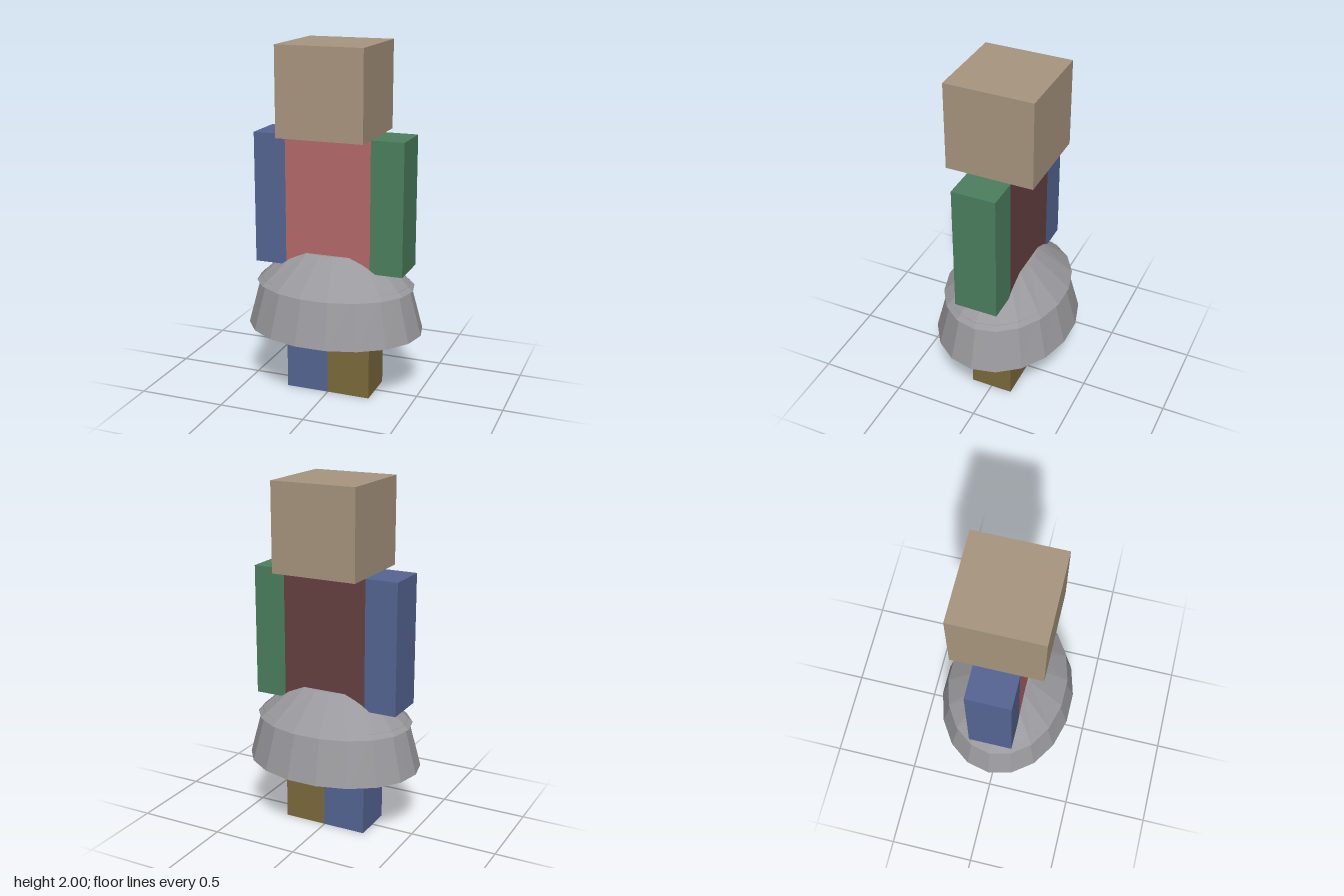
import * as THREE from 'three';

const mat = (name, color, side = THREE.FrontSide) => {
  const m = new THREE.MeshStandardMaterial({ color, side });
  m.name = name;
  return m;
};

export function createModel() {
  const tan = mat('tan', 0xa8957e);
  const red = mat('red', 0xb46969);
  const maroon = mat('maroon', 0x664141);
  const blue = mat('blue', 0x556593);
  const green = mat('green', 0x4c7f5e);
  const olive = mat('olive', 0x7a6a3b);
  const grey = mat('grey', 0x9a999d, THREE.DoubleSide);

  const model = new THREE.Group();
  model.name = 'blockFigure';

  const box = (name, [w, h, d], [x, y, z], material) => {
    const m = new THREE.Mesh(new THREE.BoxGeometry(w, h, d), material);
    m.name = name;
    m.position.set(x, y, z);
    model.add(m);
  };

  // Body blocks; material arrays run +x, -x, +y, -y, +z, -z
  box('head', [0.5, 0.5, 0.5], [0, 1.75, 0], tan);
  box('torso', [0.5, 0.75, 0.25], [0, 1.125, 0], [red, red, red, red, red, maroon]);
  box('rightArm', [0.1875, 0.75, 0.25], [-0.34375, 1.125, 0], blue);
  box('leftArm', [0.1875, 0.75, 0.25], [0.34375, 1.125, 0], green);
  box('rightLeg', [0.25, 0.75, 0.25], [-0.125, 0.375, 0], blue);
  box('leftLeg', [0.25, 0.75, 0.25], [0.125, 0.375, 0], [olive, olive, olive, tan, olive, olive]);

  // Open faceted oval band between two rings given as [y, radiusX, radiusZ]
  const SIDES = 18;
  const band = (name, [y0, x0, z0], [y1, x1, z1]) => {
    let g = new THREE.CylinderGeometry(1, 1, 1, SIDES, 1, true, Math.PI / SIDES);
    const p = g.attributes.position;
    for (let i = 0; i < p.count; i++) {
      const top = p.getY(i) > 0;
      p.setXYZ(i, p.getX(i) * (top ? x1 : x0), top ? y1 : y0, p.getZ(i) * (top ? z1 : z0));
    }
    g = g.toNonIndexed();
    g.computeVertexNormals();
    const m = new THREE.Mesh(g, grey);
    m.name = name;
    model.add(m);
  };

  // Armoured skirt: steep lower band, overhanging sloped upper band, flat rim
  band('skirtLower', [0.375, 0.515, 0.4], [0.66, 0.44, 0.325]);
  band('skirtUpper', [0.635, 0.465, 0.352], [0.83, 0.25, 0.146]);
  band('skirtRim', [0.83, 0.25, 0.146], [0.83, 0.12, 0.07]);

  return model;
}
